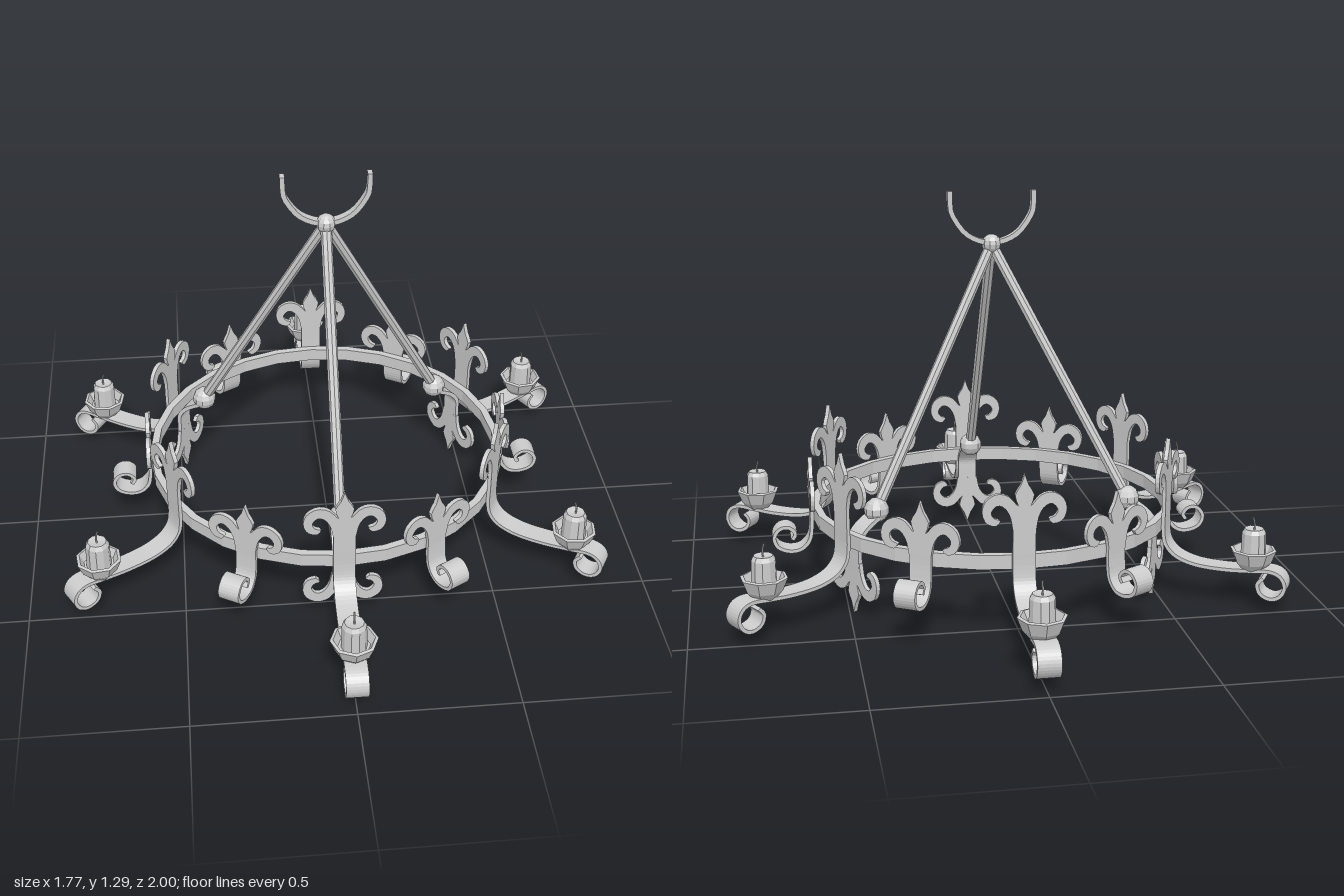
import * as THREE from 'three';

const iron = new THREE.MeshStandardMaterial({ color: 0xcccccc, flatShading: true, side: THREE.DoubleSide });
const vecs = (pts) => pts.map(([x, y]) => new THREE.Vector2(x, y));

function part(parent, name, geometry, x = 0, y = 0, z = 0) {
  const mesh = new THREE.Mesh(geometry, iron);
  mesh.name = name;
  mesh.position.set(x, y, z);
  parent.add(mesh);
  return mesh;
}

function extrude(points, depth) {
  const g = new THREE.ExtrudeGeometry(new THREE.Shape(points), { depth, bevelEnabled: false });
  return g.translate(0, 0, -depth / 2);
}

// Flat bar bent along a curve in the XY plane, its width running along z
function ribbon(pts, width, thick, steps) {
  const curve = new THREE.SplineCurve(vecs(pts));
  const a = [], b = [];
  for (let i = 0; i <= steps; i++) {
    const p = curve.getPoint(i / steps), t = curve.getTangent(i / steps);
    const n = new THREE.Vector2(-t.y, t.x).multiplyScalar(thick / 2);
    a.push(p.clone().add(n));
    b.unshift(p.clone().sub(n));
  }
  return extrude([...a, ...b], width);
}

// Lily ornament: spear tip with two curling leaves, base at y = 0, facing +x
function lilyGeometry() {
  const spear = new THREE.SplineCurve(vecs([[0, 0.16], [0.012, 0.125], [0.029, 0.095], [0.019, 0.062]])).getPoints(6);
  const leaf = new THREE.SplineCurve(vecs([
    [0.024, 0.065], [0.05, 0.093], [0.085, 0.1], [0.117, 0.08], [0.128, 0.045], [0.115, 0.012], [0.087, 0.002],
    [0.073, 0.018], [0.092, 0.026], [0.1, 0.045], [0.084, 0.064], [0.062, 0.058], [0.044, 0.03], [0.036, -0.01],
  ])).getPoints(30);
  const half = [...spear, ...leaf];
  const mirrored = half.slice(1).reverse().map((p) => new THREE.Vector2(-p.x, p.y));
  return extrude([...half, ...mirrored], 0.014).rotateY(Math.PI / 2);
}

// Rod running between two points
function rod(parent, name, from, to, radius) {
  const dir = to.clone().sub(from);
  const mesh = part(parent, name, new THREE.CylinderGeometry(radius, radius, dir.length(), 8));
  mesh.position.copy(from).addScaledVector(dir, 0.5);
  mesh.quaternion.setFromUnitVectors(new THREE.Vector3(0, 1, 0), dir.normalize());
}

export function createModel() {
  const model = new THREE.Group();
  model.name = 'chandelier';

  // Hoop
  part(model, 'hoop', new THREE.LatheGeometry(
    vecs([[0.572, 0.23], [0.597, 0.23], [0.597, 0.275], [0.572, 0.275], [0.572, 0.23]]), 28));

  const lily = lilyGeometry();
  const armBar = ribbon([
    [0.6, 0.38], [0.6, 0.3], [0.6, 0.23], [0.61, 0.185], [0.645, 0.15], [0.71, 0.13], [0.8, 0.126], [0.88, 0.131],
    [0.945, 0.136], [0.98, 0.122], [0.994, 0.09], [0.98, 0.058], [0.95, 0.046], [0.918, 0.06], [0.908, 0.09], [0.925, 0.112],
  ], 0.07, 0.012, 60);
  const bracketBar = ribbon([
    [0.6, 0.28], [0.6, 0.22], [0.607, 0.165], [0.635, 0.132], [0.675, 0.126], [0.712, 0.142], [0.724, 0.175],
    [0.705, 0.203], [0.675, 0.206], [0.655, 0.185], [0.665, 0.165],
  ], 0.07, 0.012, 40);
  const hookBar = ribbon([[0.556, 0.14], [0.556, 0.2], [0.553, 0.24], [0.525, 0.275], [0.475, 0.305]], 0.066, 0.014, 16);

  const cup = new THREE.LatheGeometry(vecs([
    [0, 0.13], [0.036, 0.13], [0.058, 0.155], [0.074, 0.195], [0.064, 0.198], [0.05, 0.17], [0, 0.165],
  ]), 8);
  const candle = new THREE.LatheGeometry(vecs([
    [0.04, 0.165], [0.038, 0.25], [0.03, 0.264], [0.012, 0.26], [0, 0.258],
  ]), 10);
  const wick = new THREE.TubeGeometry(new THREE.CatmullRomCurve3([
    new THREE.Vector3(0, 0.255, 0), new THREE.Vector3(0.002, 0.28, 0), new THREE.Vector3(-0.004, 0.3, 0),
  ]), 4, 0.003, 5);

  for (let i = 0; i < 6; i++) {
    // Candle arm with its lily, drip cup and candle
    const arm = new THREE.Group();
    arm.name = 'candleArm';
    arm.rotation.y = Math.PI / 6 + (i * Math.PI) / 3;
    part(arm, 'armBar', armBar);
    part(arm, 'armLily', lily, 0.6, 0.37);
    part(arm, 'dripCup', cup, 0.885);
    part(arm, 'candle', candle, 0.885);
    part(arm, 'wick', wick, 0.885);
    model.add(arm);

    // Short scrolled bracket between the arms
    const bracket = new THREE.Group();
    bracket.name = 'scrollBracket';
    bracket.rotation.y = (i * Math.PI) / 3;
    part(bracket, 'bracketBar', bracketBar);
    part(bracket, 'bracketLily', lily, 0.6, 0.275);
    model.add(bracket);
  }

  // Three suspension rods, each with an inner hook and hanging lily
  for (let i = 0; i < 3; i++) {
    const hanger = new THREE.Group();
    hanger.name = 'hanger';
    hanger.rotation.y = Math.PI / 6 + (i * 2 * Math.PI) / 3;
    part(hanger, 'hookBar', hookBar);
    part(hanger, 'hangingLily', lily, 0.556, 0.16).rotation.x = Math.PI;
    part(hanger, 'joint', new THREE.SphereGeometry(0.04, 10, 7), 0.468, 0.32);
    rod(hanger, 'rod', new THREE.Vector3(0.468, 0.32, 0), new THREE.Vector3(0, 1.12, 0), 0.018);
    model.add(hanger);
  }

  // Top knob and open ceiling hook
  part(model, 'topKnob', new THREE.SphereGeometry(0.032, 10, 8), 0, 1.12, 0);
  for (const side of [1, -1]) {
    const prong = part(model, 'ceilingHook', ribbon([
      [0, 1.122], [0.05, 1.135], [0.092, 1.162], [0.128, 1.215], [0.135, 1.25], [0.136, 1.292],
    ], 0.03, 0.016, 12));
    prong.rotation.y = side > 0 ? 0 : Math.PI;
  }

  return model;
}
